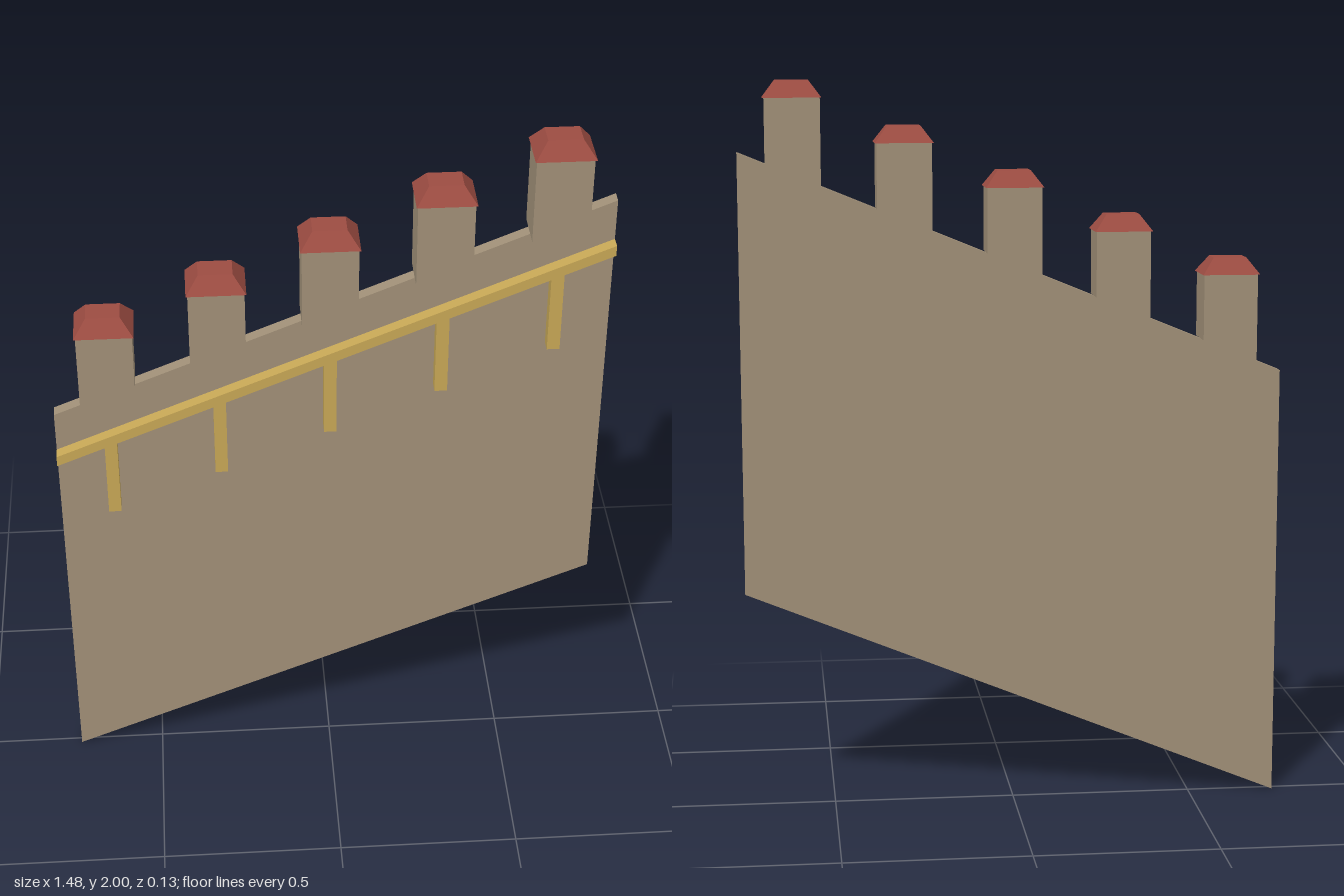
import * as THREE from 'three';

const SLOPE = 0.605 / 1.48;   // rise of the stair wall per unit of x
const HALF = 0.74;
const WALL_Z = 0.018;
const rise = (x) => (x + HALF) * SLOPE;

// Prism from x0 to x1 whose bottom and top are given as functions of x
function slopedPrism(x0, x1, bottom, top, z0, z1) {
  const shape = new THREE.Shape([
    new THREE.Vector2(x0, bottom(x0)),
    new THREE.Vector2(x1, bottom(x1)),
    new THREE.Vector2(x1, top(x1)),
    new THREE.Vector2(x0, top(x0)),
  ]);
  const g = new THREE.ExtrudeGeometry(shape, { depth: z1 - z0, bevelEnabled: false });
  return g.translate(0, 0, z0);
}

// Box whose top face is pulled in to make a hipped cap, standing on y = 0
function hippedCap(w, d, topW, topD, h) {
  const g = new THREE.BoxGeometry(w, h, d).translate(0, h / 2, 0);
  const p = g.attributes.position;
  for (let i = 0; i < p.count; i++) {
    if (p.getY(i) > h / 2) p.setXYZ(i, p.getX(i) * topW / w, h, p.getZ(i) * topD / d);
  }
  g.computeVertexNormals();
  return g;
}

export function createModel() {
  const stone = new THREE.MeshStandardMaterial({ color: 0xa19078 });
  const wood = new THREE.MeshStandardMaterial({ color: 0xc8a856 });
  const tile = new THREE.MeshStandardMaterial({ color: 0x9c4c42 });
  stone.name = 'stone';
  wood.name = 'wood';
  tile.name = 'roofTile';

  const model = new THREE.Group();
  model.name = 'slopedWall';
  const add = (name, geometry, material, parent = model) => {
    const mesh = new THREE.Mesh(geometry, material);
    mesh.name = name;
    parent.add(mesh);
    return mesh;
  };

  // Slanted wall panel
  add('wall', slopedPrism(-HALF, HALF, rise, (x) => rise(x) + 1.205, -WALL_Z, WALL_Z), stone);

  // Wooden rail along the front
  const railBottom = (x) => rise(x) + 1.06;
  add('rail', slopedPrism(-HALF, HALF, railBottom, (x) => rise(x) + 1.09, WALL_Z, 0.053), wood);

  for (let i = 0; i < 5; i++) {
    const x = (i - 2) * 0.296;
    const step = i * 0.12;

    // Capped merlon with a slanted foot on the wall top
    const merlon = new THREE.Group();
    merlon.name = 'merlon' + (i + 1);
    model.add(merlon);
    const eave = 1.475 + step;
    add('merlonBody', slopedPrism(x - 0.074, x + 0.074, (t) => rise(t) + 1.205, () => eave, -0.057, 0.057), stone, merlon);
    add('merlonRoof', hippedCap(0.157, 0.132, 0.09, 0.068, 0.045), tile, merlon).position.set(x, eave, 0);

    // Bracket post hanging under the rail
    add('post' + (i + 1), slopedPrism(x - 0.017, x + 0.017, () => 0.897 + i * 0.121, railBottom, WALL_Z, 0.053), wood);
  }
  return model;
}
